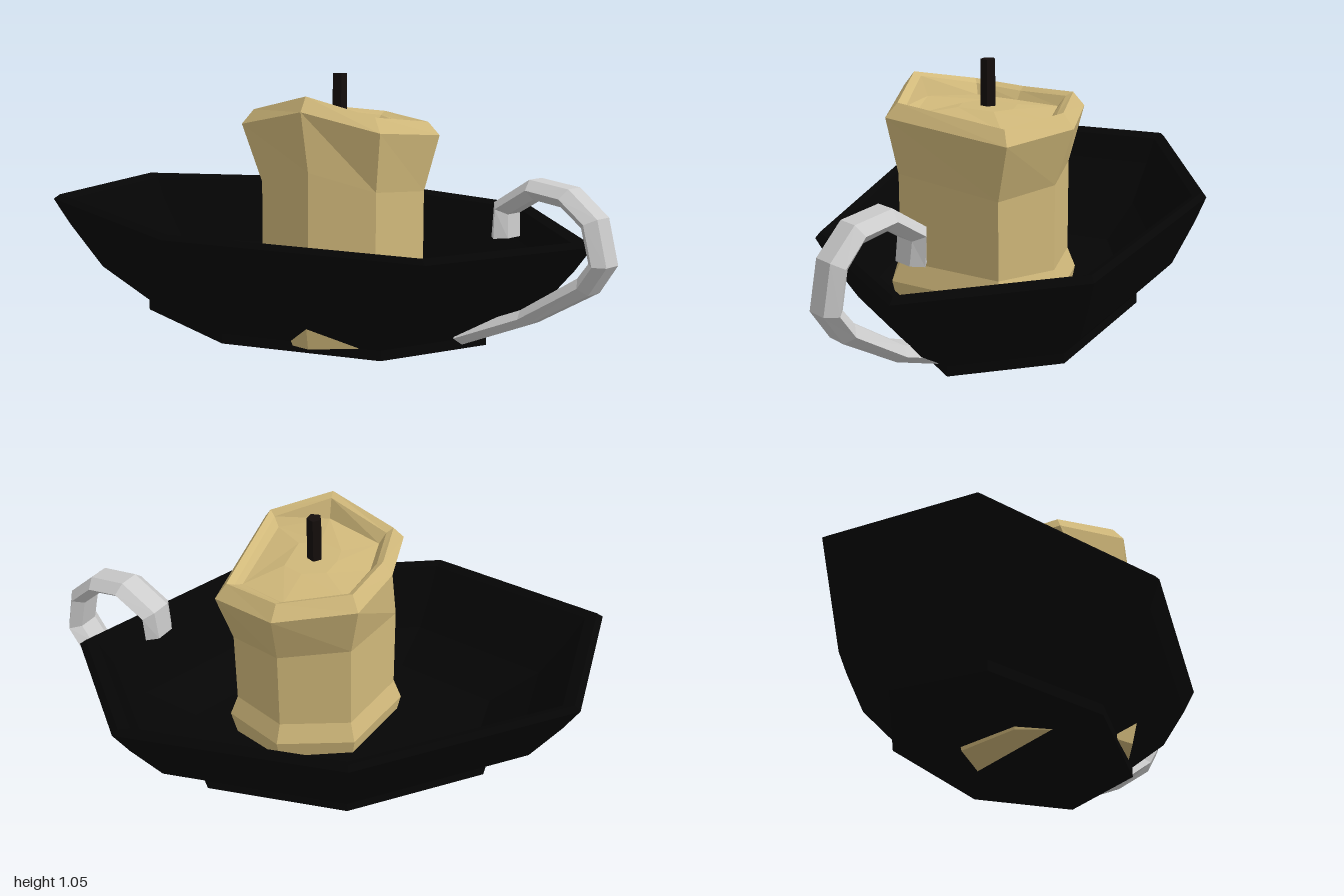
import * as THREE from 'three';

const V = (x, y, z) => new THREE.Vector3(x, y, z);

// Skin a stack of equal-sized rings, closing both ends with a fan.
function loft(rings) {
  const pos = [];
  const tri = (...pts) => pts.forEach(p => pos.push(p.x, p.y, p.z));
  const centre = ring => ring.reduce((s, p) => s.add(p), V(0, 0, 0)).divideScalar(ring.length);
  const n = rings[0].length;
  const first = rings[0], last = rings[rings.length - 1];
  const c0 = centre(first), c1 = centre(last);
  for (let i = 0; i < n; i++) {
    const j = (i + 1) % n;
    for (let k = 0; k + 1 < rings.length; k++) {
      const a = rings[k], b = rings[k + 1];
      tri(a[i], b[i], b[j]);
      tri(a[i], b[j], a[j]);
    }
    tri(c0, first[i], first[j]);
    tri(c1, last[j], last[i]);
  }
  const g = new THREE.BufferGeometry();
  g.setAttribute('position', new THREE.Float32BufferAttribute(pos, 3));
  g.computeVertexNormals();
  return g;
}

function part(name, geometry, color) {
  const mesh = new THREE.Mesh(geometry, new THREE.MeshStandardMaterial({ color, flatShading: true }));
  mesh.name = name;
  return mesh;
}

// Crooked seven-sided dish, tilted down towards the front left
function makeDish() {
  const outline = [[-0.57, -0.81], [0.32, -0.71], [1, -0.1], [0.95, 0.56], [0.21, 0.78], [-0.65, 0.38], [-1, -0.33]];
  // scale of the outline, height, shift: foot, outer wall, lip, inner wall, floor
  const profile = [[0.64, 0.047, 0.02], [0.64, 0.087, 0.02], [0.82, 0.215, 0.015], [0.94, 0.385, 0.005], [1, 0.485, 0],
    [0.975, 0.505, 0], [0.93, 0.49, 0], [0.88, 0.39, 0], [0.77, 0.235, 0.01], [0.58, 0.12, 0.02]];
  return loft(profile.map(([s, h, shift]) => outline.map(([x, z]) =>
    V(x * s + shift / 2, h - 0.08 * z * s - 0.03 * x * s, z * s - shift))));
}

// Seven-sided candle with a spreading base, a flared, uneven lip and a shallow wax pool
function makeCandle() {
  const column = [[0.13, 0.455], [-0.115, 0.41], [-0.24, 0.2], [-0.19, -0.06], [0.08, -0.22], [0.34, -0.11], [0.43, 0.12]];
  const flare = [[0.13, 0.5], [-0.14, 0.4], [-0.3, 0.1], [-0.15, -0.1], [0.08, -0.28], [0.38, -0.17], [0.5, 0.1]];
  const lip = [0.905, 0.98, 0.92, 0.905, 0.915, 0.89, 0.86];
  const cx = 0.09, cz = 0.1;
  const ring = (pts, s, height) => pts.map(([x, z], i) => V(cx + (x - cx) * s, height(lip[i]), cz + (z - cz) * s));
  return loft([
    ring(column, 1, () => 0.046),
    ring(column, 1.1, () => 0.2),
    ring(column, 1, () => 0.28),
    ring(column, 1, h => h - 0.275),
    ring(flare, 1, h => h - 0.055),
    ring(flare, 0.88, h => h),
    ring(flare, 0.8, h => h - 0.015),
    ring(flare, 0.72, h => 0.4 * h + 0.495),
    ring(flare, 0.3, () => 0.875),
  ]);
}

// Flattened six-sided strap curling from inside the lip down to the foot
function makeHandle() {
  const path = [V(0.64, 0.45, 0.46), V(0.645, 0.56, 0.455), V(0.72, 0.64, 0.555), V(0.8, 0.62, 0.665),
    V(0.865, 0.535, 0.735), V(0.89, 0.385, 0.76), V(0.86, 0.3, 0.71), V(0.71, 0.155, 0.535), V(0.52, 0.055, 0.375)];
  const across = V(0.85, 0, -0.53);
  return loft(path.map((p, k) => {
    const tangent = path[Math.min(k + 1, path.length - 1)].clone().sub(path[Math.max(k - 1, 0)]);
    const normal = tangent.cross(across).normalize();
    const thick = k > 6 ? 0.036 : 0.043;
    return Array.from({ length: 6 }, (_, i) => {
      const a = i / 6 * Math.PI * 2;
      return p.clone().addScaledVector(across, 0.08 * Math.cos(a)).addScaledVector(normal, -thick * Math.sin(a));
    });
  }));
}

export function createModel() {
  const model = new THREE.Group();
  model.name = 'candleHolder';
  model.add(part('dish', makeDish(), 0x050505));
  model.add(part('candle', makeCandle(), 0xd0b87a));
  model.add(part('handle', makeHandle(), 0xcccccc));

  // Wick
  const wick = part('wick', new THREE.CylinderGeometry(0.03, 0.03, 0.25, 5), 0x140e0c);
  wick.position.set(0.085, 0.93, 0.1);
  model.add(wick);
  return model;
}
